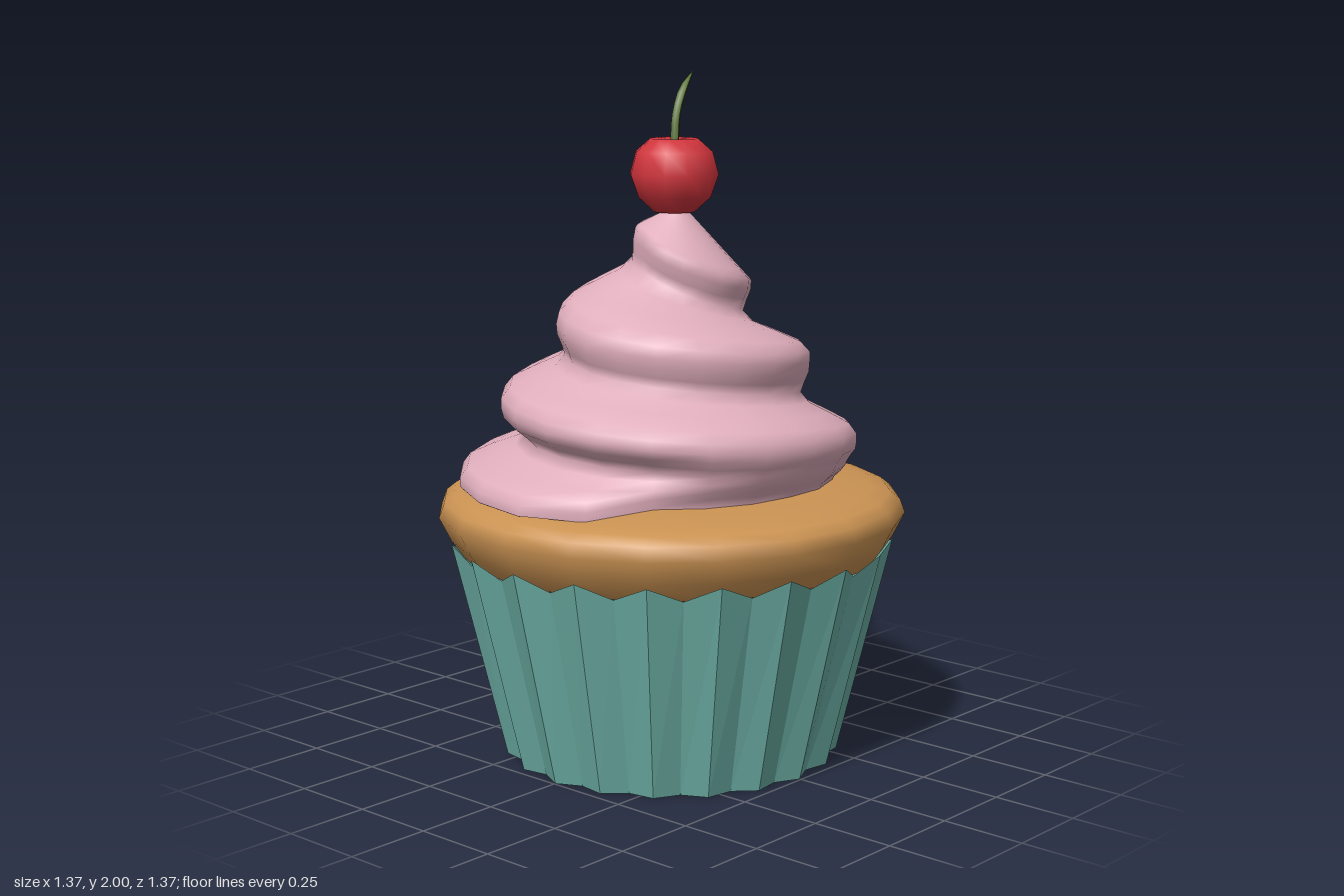
import * as THREE from 'three';
import { mergeVertices } from 'three/addons/utils/BufferGeometryUtils.js';

const SIDES = 20;
const { lerp, clamp } = THREE.MathUtils;

function material(name, color) {
  const m = new THREE.MeshStandardMaterial({ color });
  m.name = name;
  return m;
}

// Grid of points: columns x rows, point(i, j) -> [x, y, z]
function gridGeometry(cols, rows, point) {
  const pos = [], idx = [];
  for (let i = 0; i <= cols; i++)
    for (let j = 0; j <= rows; j++) pos.push(...point(i, j));
  for (let i = 0; i < cols; i++)
    for (let j = 0; j < rows; j++) {
      const a = i * (rows + 1) + j, b = a + rows + 1;
      idx.push(a, a + 1, b, b, a + 1, b + 1);
    }
  const g = new THREE.BufferGeometry();
  g.setAttribute('position', new THREE.Float32BufferAttribute(pos, 3));
  g.setIndex(idx);
  return g;
}

const lathe = (points, sides) =>
  new THREE.LatheGeometry(points.map(([r, y]) => new THREE.Vector2(r, y)), sides);

// Crest of the frosting coil: [turn, height, radius], turns start at -x and run via -z
const CREST = [
  [-1, 0.79, 0.5], [-0.5, 0.79, 0.5], [-0.25, 0.8, 0.45], [-0.1, 0.8, 0.46], [-0.04, 0.8, 0.6],
  [0, 0.805, 0.63], [0.25, 0.83, 0.615], [0.5, 0.88, 0.56], [0.75, 0.96, 0.53],
  [1, 1.02, 0.52], [1.25, 1.07, 0.475], [1.5, 1.13, 0.425], [1.75, 1.19, 0.39],
  [2, 1.25, 0.36], [2.25, 1.33, 0.308], [2.5, 1.37, 0.27], [2.75, 1.43, 0.195],
  [3, 1.54, 0.12], [3.25, 1.575, 0.085], [3.5, 1.6, 0.06], [4, 1.61, 0],
];
function crest(s) {
  s = clamp(s, -1, 4);
  let k = 0;
  while (k < CREST.length - 2 && CREST[k + 1][0] < s) k++;
  const a = CREST[k], b = CREST[k + 1], f = (s - a[0]) / (b[0] - a[0]);
  return { y: lerp(a[1], b[1], f), r: lerp(a[2], b[2], f) };
}

// Section from one crest to the crest above: share of lower radius, and groove depth
const SHARE = [1, 1, 0.85, 0.5, 0.15, 0, 0, 0, 0];
const GROOVE = [0, 0, 0.3, 0.7, 1, 1, 0.6, 0.1, 0];

function frostingGeometry() {
  const g = gridGeometry(SIDES, 40, (i, j) => {
    const t = i / SIDES, f = (j % 8) / 8, p = t + Math.floor(j / 8) - 1;
    const lo = crest(p), hi = crest(p + 1);
    const smooth = clamp((p - 1.9) / 0.7, 0, 1);
    const depth = (p > -0.1 && p < 0.4 ? 0.07 : 0.025) * (1 - smooth);
    const share = lerp(SHARE[j % 8], 1 - f, smooth);
    const r = lerp(hi.r - depth * GROOVE[j % 8], lo.r, share);
    const a = t * Math.PI * 2;
    return [-Math.cos(a) * r, lerp(lo.y, hi.y, f), -Math.sin(a) * r];
  });
  const welded = mergeVertices(g, 1e-4);
  welded.computeVertexNormals();
  return welded;
}

// Pleated wrapper: ridges and valleys alternate around the cone
function wrapperGeometry() {
  const g = gridGeometry(SIDES * 2, 2, (i, j) => {
    const ridge = i % 2 === 0, a = -(i / (SIDES * 2)) * Math.PI * 2;
    const r = [0, ridge ? 0.495 : 0.465, ridge ? 0.652 : 0.612][j];
    const y = [0, 0, ridge ? 0.645 : 0.6][j];
    return [Math.sin(a) * r, y, Math.cos(a) * r];
  }).toNonIndexed();
  g.computeVertexNormals();
  return g;
}

// Curved stem narrowing to a point
function stemGeometry() {
  const curve = new THREE.CatmullRomCurve3([
    new THREE.Vector3(0.02, 1.78, -0.005), new THREE.Vector3(0.032, 1.87, -0.01),
    new THREE.Vector3(0.065, 1.94, -0.015), new THREE.Vector3(0.122, 2, -0.022),
  ]);
  const segs = 8, sides = 6;
  const g = new THREE.TubeGeometry(curve, segs, 0.013, sides);
  const pos = g.attributes.position, v = new THREE.Vector3();
  for (let n = 0; n < pos.count; n++) {
    const u = Math.floor(n / (sides + 1)) / segs;
    const c = curve.getPointAt(u);
    v.fromBufferAttribute(pos, n).sub(c).multiplyScalar(u < 0.7 ? 1 : (1 - u) / 0.3).add(c);
    pos.setXYZ(n, v.x, v.y, v.z);
  }
  g.computeVertexNormals();
  return g;
}

export function createModel() {
  const group = new THREE.Group();
  group.name = 'cupcake';
  const add = (name, geometry, mat) => {
    const mesh = new THREE.Mesh(geometry, mat);
    mesh.name = name;
    group.add(mesh);
    return mesh;
  };

  const teal = material('teal paper', 0x6db0a6);
  teal.side = THREE.DoubleSide;
  teal.flatShading = true;
  const pink = material('pink frosting', 0xe0aebd);
  pink.side = THREE.DoubleSide;

  add('wrapper', wrapperGeometry(), teal);
  add('cake', lathe([
    [0, 0.59], [0.59, 0.59], [0.612, 0.6], [0.652, 0.655], [0.687, 0.725],
    [0.672, 0.765], [0.643, 0.788], [0.59, 0.8], [0.45, 0.822], [0, 0.83],
  ], SIDES), material('golden cake', 0xcb9353));
  add('frosting', frostingGeometry(), pink);

  const cherry = add('cherry', lathe([
    [0, 1.592], [0.06, 1.596], [0.108, 1.64], [0.131, 1.705],
    [0.113, 1.77], [0.07, 1.807], [0, 1.8],
  ], 12), material('cherry red', 0xd2353d));
  cherry.position.set(0.024, 0, -0.01);

  add('stem', stemGeometry(), material('stem green', 0x56702f));
  return group;
}
